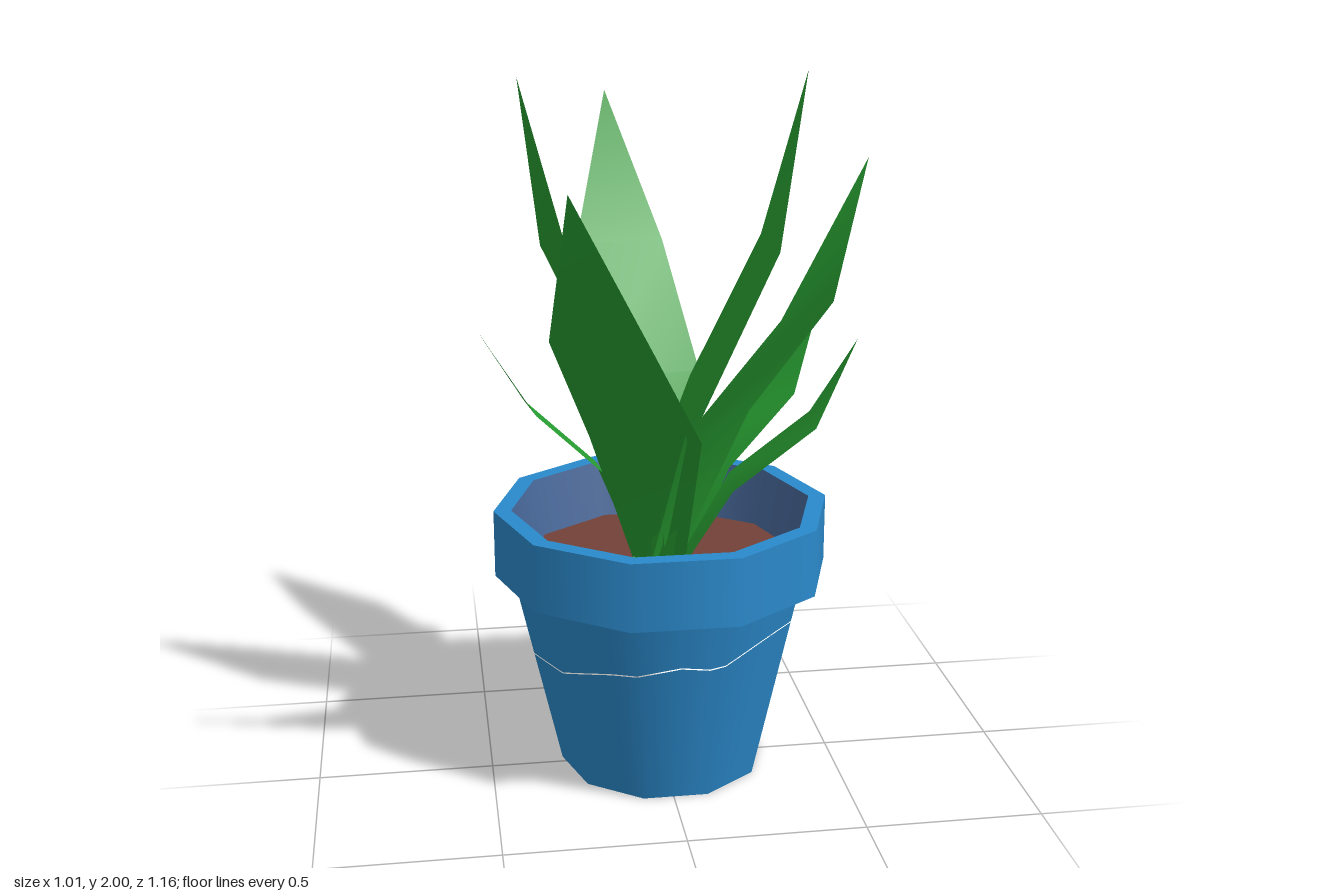
import * as THREE from 'three';

const green = new THREE.MeshStandardMaterial({ color: 0x28a032, side: THREE.DoubleSide });
green.name = 'leafGreen';
const blue = new THREE.MeshStandardMaterial({ color: 0x2b8acc });
blue.name = 'potBlue';
const slate = new THREE.MeshStandardMaterial({ color: 0x476798 });
slate.name = 'innerSlate';
const brown = new THREE.MeshStandardMaterial({ color: 0x734137 });
brown.name = 'soilBrown';

const BOTTOM = 0.297, TOP = 0.43, RIM = 0.48, RIM_LOW = 0.59, RIM_HIGH = 0.785;
const SOIL = 0.62, SOIL_RADIUS = 0.394, GAP = 0.002;
const { degToRad, euclideanModulo, lerp } = THREE.MathUtils;

// One ten-sided surface of revolution; the profile runs so that its right side is outside
function ring(name, material, profile) {
  const points = profile.map(([r, y]) => new THREE.Vector2(r, y));
  const mesh = new THREE.Mesh(new THREE.LatheGeometry(points, 10, Math.PI / 2), material);
  mesh.name = name;
  return mesh;
}

// Strip through pairs of edge points, optionally closed by a tip
function strip(name, material, pairs, tip) {
  const positions = pairs.flat(2);
  const index = [];
  for (let i = 0; i < pairs.length - 1; i++) {
    const a = i * 2;
    index.push(a, a + 1, a + 3, a, a + 3, a + 2);
  }
  if (tip) {
    const n = pairs.length * 2;
    positions.push(...tip);
    index.push(n - 2, n - 1, n);
  }
  const geometry = new THREE.BufferGeometry();
  geometry.setAttribute('position', new THREE.Float32BufferAttribute(positions, 3));
  geometry.setIndex(index);
  geometry.computeVertexNormals();
  const mesh = new THREE.Mesh(geometry, material);
  mesh.name = name;
  return mesh;
}

// Height of the hairline crack around the pot: [degrees from +x towards +z, height]
const crackPath = [[-240, 0.41], [-210, 0.37], [-180, 0.34], [-120, 0.34], [-90, 0.36], [-66, 0.4],
  [-18, 0.42], [0, 0.47], [30, 0.51], [60, 0.46], [78, 0.43], [90, 0.44], [120, 0.41]];
function crackHeight(deg) {
  const i = crackPath.findIndex(([d]) => d >= deg);
  if (i === 0) return crackPath[0][1];
  const [d0, y0] = crackPath[i - 1], [d1, y1] = crackPath[i];
  return lerp(y0, y1, (deg - d0) / (d1 - d0));
}

// Point on the tapered ten-sided pot wall
function wallPoint(deg, y) {
  const t = degToRad(deg);
  const corner = Math.cos(Math.PI / 10) / Math.cos(degToRad(euclideanModulo(deg, 36) - 18));
  const r = lerp(BOTTOM, TOP, y / RIM_LOW) * corner;
  return [r * Math.cos(t), y, r * Math.sin(t)];
}

// Part of the pot wall between two heights that may vary around it, with smooth normals
function wall(name, low, high) {
  const pairs = [];
  for (let deg = -240; deg <= 120; deg += 6) {
    pairs.push([wallPoint(deg, low(deg)), wallPoint(deg, high(deg))]);
  }
  const mesh = strip(name, blue, pairs);
  const { position, normal } = mesh.geometry.attributes;
  const v = new THREE.Vector3();
  for (let i = 0; i < position.count; i++) {
    v.fromBufferAttribute(position, i).setY(0).normalize();
    v.setY((BOTTOM - TOP) / RIM_LOW).normalize();
    normal.setXYZ(i, v.x, v.y, v.z);
  }
  return mesh;
}

// Leaf blade: a spine from the soil to the tip, widened sideways along one level direction
function blade(name, degrees, halfWidths, spine, tip) {
  const t = degToRad(degrees);
  const pairs = spine.map(([x, y, z], i) => {
    const dx = halfWidths[i] * Math.cos(t), dz = halfWidths[i] * Math.sin(t);
    return [[x - dx, y, z - dz], [x + dx, y, z + dz]];
  });
  return strip(name, green, pairs, tip);
}

// Name, direction across the blade, middle, widest point and tip
const tallLeaves = [
  ['backLeaf', -8, [-0.015, 1.13, -0.17], [-0.06, 1.465, -0.44], [-0.085, 1.895, -0.58]],
  ['leftTallLeaf', 90, [0.08, 1.05, -0.03], [0.31, 1.53, -0.03], [0.405, 2, -0.025]],
  ['rightTallLeaf', 77, [-0.06, 1.05, -0.01], [-0.292, 1.53, 0.04], [-0.385, 2, 0.06]],
  ['frontLeftLeaf', -46, [0.137, 1.065, 0.137], [0.342, 1.415, 0.305], [0.457, 1.83, 0.427]],
  ['frontRightLeaf', 22, [-0.07, 1.045, 0.185], [-0.217, 1.375, 0.425], [-0.305, 1.78, 0.58]],
];
const lowLeaves = [
  ['lowBackLeftLeaf', 65, [0.17, 0.875, -0.125], [0.37, 1.07, -0.187], [0.505, 1.31, -0.245]],
  ['lowRightLeaf', 82, [-0.16, 0.88, -0.075], [-0.36, 1.065, -0.095], [-0.505, 1.295, -0.12]],
  ['lowFrontLeftLeaf', 97, [0.185, 0.88, 0.09], [0.405, 1.065, 0.132], [0.505, 1.31, 0.205]],
];

// Young shoots: base x, base z and tip
const shoots = [
  [0.01, 0.06, [0.035, 1.06, 0.1]],
  [-0.02, 0.05, [-0.01, 0.95, 0.08]],
  [0.03, -0.06, [0.06, 0.88, -0.13]],
  [-0.03, -0.05, [-0.05, 0.87, -0.11]],
];

export function createModel() {
  const model = new THREE.Group();
  model.name = 'pottedPlant';

  // Pot with a cracked wall, rim and soil
  const pot = new THREE.Group();
  pot.name = 'pot';
  pot.position.set(0.006, 0, -0.027);
  pot.add(
    ring('potBase', blue, [[0, 0], [BOTTOM, 0]]),
    wall('lowerWall', () => 0, (deg) => crackHeight(deg) - GAP),
    wall('upperWall', (deg) => crackHeight(deg) + GAP, () => RIM_LOW),
    ring('rimUnderside', slate, [[TOP - 0.01, RIM_LOW], [RIM, RIM_LOW]]),
    ring('rimSide', blue, [[RIM, RIM_LOW], [RIM, RIM_HIGH]]),
    ring('rimTop', blue, [[RIM, RIM_HIGH], [TOP, RIM_HIGH]]),
    ring('innerWall', slate, [[TOP, RIM_HIGH], [SOIL_RADIUS, SOIL]]),
    ring('soil', brown, [[SOIL_RADIUS, SOIL], [0, SOIL]]),
  );
  model.add(pot);

  // Leaves spring from a small circle in the soil, each on the side it leans to
  const foliage = new THREE.Group();
  foliage.name = 'foliage';
  const addLeaves = (leaves, radius, halfWidths) => {
    for (const [name, degrees, middle, wide, tip] of leaves) {
      const scale = radius / Math.hypot(tip[0], tip[2]);
      const base = [scale * tip[0], SOIL, scale * tip[2]];
      foliage.add(blade(name, degrees, halfWidths, [base, middle, wide], tip));
    }
  };
  addLeaves(tallLeaves, 0.015, [0.075, 0.157, 0.132]);
  addLeaves(lowLeaves, 0.06, [0.05, 0.085, 0.085]);

  // Shoots, widest halfway up
  for (const [x, z, tip] of shoots) {
    const middle = [(x + tip[0]) / 2, (SOIL + tip[1]) / 2, (z + tip[2]) / 2];
    foliage.add(blade('shoot', 48, [0.017, 0.027], [[x, SOIL, z], middle], tip));
  }
  model.add(foliage);
  return model;
}
